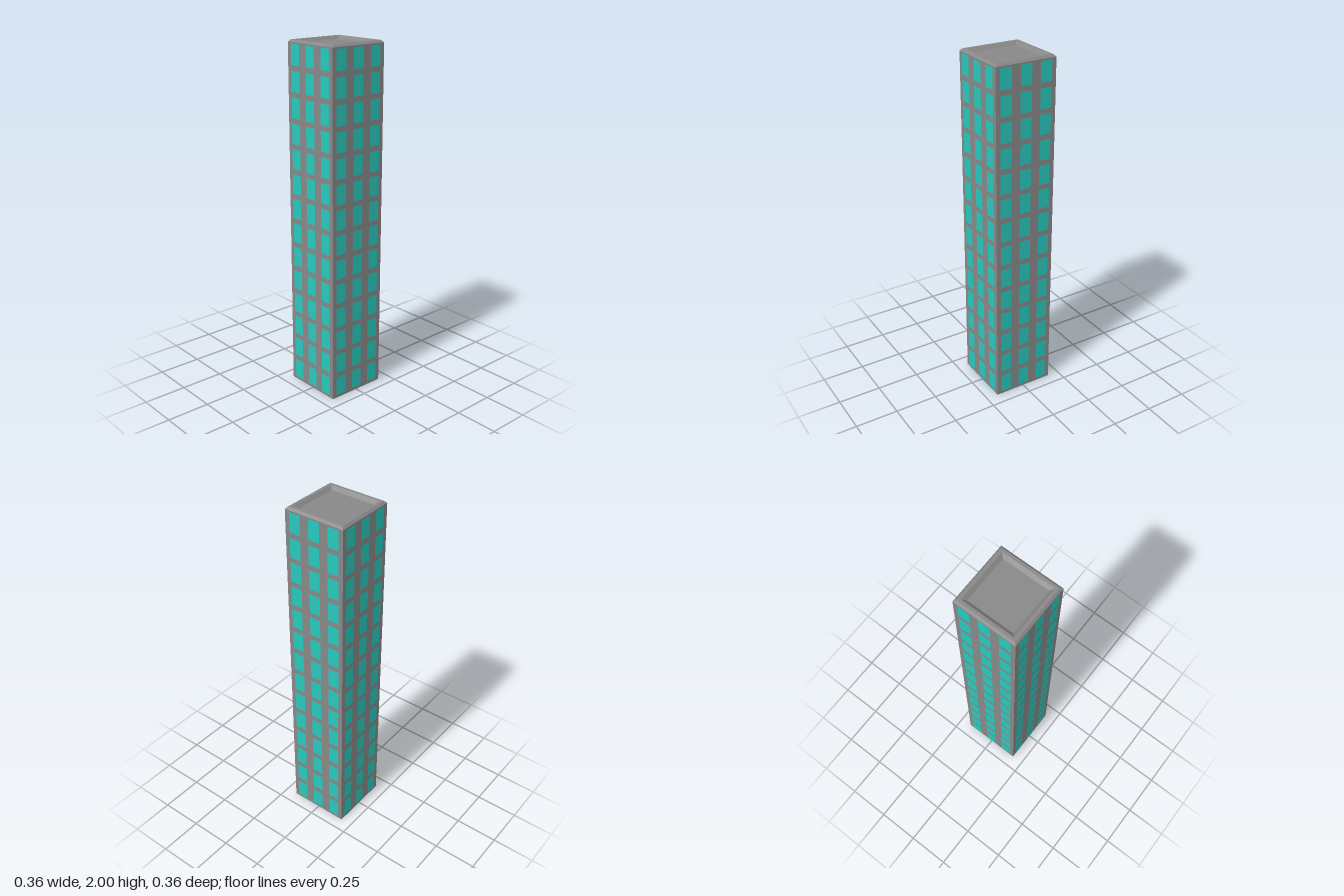
import * as THREE from 'three';

const HALF = 0.18;          // half width of the tower
const ROWS = 14;
const COLUMNS = [-0.12, 0, 0.12];
const GAP = 0.0008;         // lifts the panes just off the wall

export function createModel() {
  const tower = new THREE.Group();
  tower.name = 'tower';
  const concrete = new THREE.MeshStandardMaterial({ color: 0x888888, flatShading: true });
  const glass = new THREE.MeshStandardMaterial({ color: 0x28c8bc });

  // Square shell: walls, bevelled parapet and sunken roof, as a four-sided lathe
  const profile = [
    [0, 0], [HALF, 0], [HALF, 1.988], [0.168, 2],
    [0.152, 2], [0.133, 1.982], [0, 1.982],
  ].map(([halfWidth, y]) => new THREE.Vector2(halfWidth * Math.SQRT2, y));
  const shellGeometry = new THREE.LatheGeometry(profile, 4, Math.PI / 4).toNonIndexed();
  shellGeometry.computeVertexNormals();
  const shell = new THREE.Mesh(shellGeometry, concrete);
  shell.name = 'shell';
  tower.add(shell);

  // Rows of windows, repeated on all four walls
  const windowGeometry = new THREE.PlaneGeometry(0.068, 0.113);
  ['front', 'left', 'back', 'right'].forEach((side, i) => {
    const wall = new THREE.Group();
    wall.name = `${side}Windows`;
    wall.rotation.y = i * Math.PI / 2;
    for (let row = 0; row < ROWS; row++) {
      for (const x of COLUMNS) {
        const pane = new THREE.Mesh(windowGeometry, glass);
        pane.name = 'window';
        pane.position.set(x, 0.073 + row * 0.1423, HALF + GAP);
        wall.add(pane);
      }
    }
    tower.add(wall);
  });

  // Square panels under the base
  const panelGeometry = new THREE.PlaneGeometry(0.068, 0.068).rotateX(Math.PI / 2);
  const base = new THREE.Group();
  base.name = 'basePanels';
  for (const x of COLUMNS) {
    for (const z of COLUMNS) {
      const panel = new THREE.Mesh(panelGeometry, glass);
      panel.name = 'basePanel';
      panel.position.set(x, -GAP, z);
      base.add(panel);
    }
  }
  tower.add(base);

  return tower;
}
